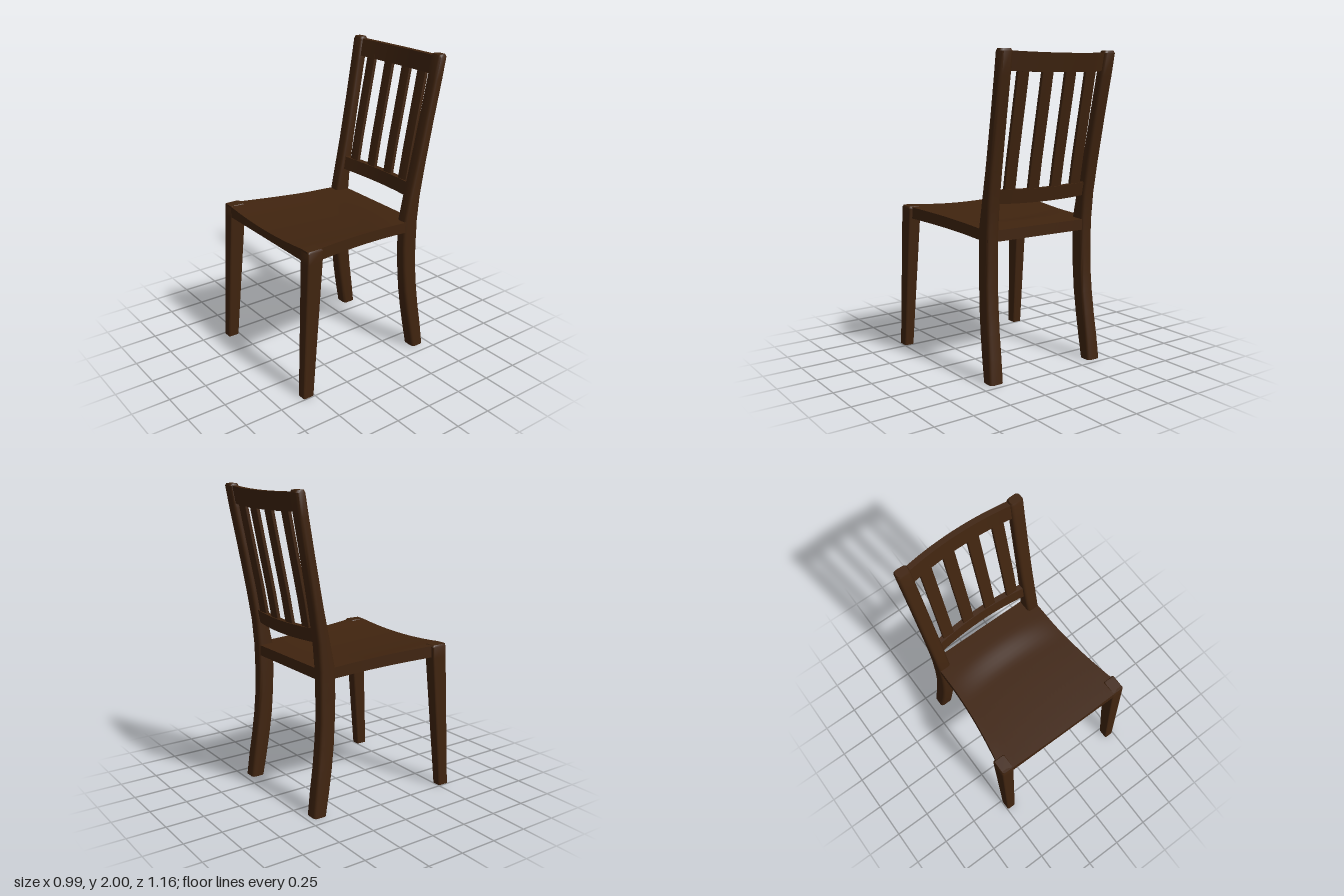
import * as THREE from 'three';
import { toCreasedNormals } from 'three/addons/utils/BufferGeometryUtils.js';

const wood = new THREE.MeshStandardMaterial({ color: 0x40240f });
wood.name = 'darkWood';

function part(name, geometry) {
  const mesh = new THREE.Mesh(toCreasedNormals(geometry, 0.6), wood);
  mesh.name = name;
  return mesh;
}

// Rounded rectangle in the xz plane, counter-clockwise from above
function ring([y, x0, x1, z0, z1], r) {
  const pts = [];
  const corners = [[x1 - r, z0 + r], [x0 + r, z0 + r], [x0 + r, z1 - r], [x1 - r, z1 - r]];
  corners.forEach(([cx, cz], q) => {
    for (let k = 0; k <= 3; k++) {
      const a = (q + k / 3) * Math.PI / 2;
      pts.push([cx + r * Math.cos(a), y, cz - r * Math.sin(a)]);
    }
  });
  return pts;
}

// Post through sections [y, x0, x1, z0, z1], listed bottom to top; side = -1 mirrors in x
function post(sections, r, side = 1) {
  const rings = sections.map(([y, x0, x1, z0, z1]) =>
    ring(side > 0 ? [y, x0, x1, z0, z1] : [y, -x1, -x0, z0, z1], r));
  const n = rings[0].length, pos = rings.flat(2), idx = [];
  for (let i = 0; i < rings.length - 1; i++) {
    for (let j = 0; j < n; j++) {
      const a = i * n + j, b = i * n + (j + 1) % n;
      idx.push(a, b, b + n, a, b + n, a + n);
    }
  }
  const top = (rings.length - 1) * n;
  for (let j = 1; j < n - 1; j++) idx.push(0, j + 1, j, top, top + j, top + j + 1);
  const g = new THREE.BufferGeometry();
  g.setAttribute('position', new THREE.Float32BufferAttribute(pos, 3));
  g.setIndex(idx);
  return g;
}

// Box whose vertices are moved by a rule
function shaped(nx, ny, nz, rule) {
  const g = new THREE.BoxGeometry(1, 1, 1, nx, ny, nz);
  const p = g.attributes.position;
  for (let i = 0; i < p.count; i++) {
    p.setXYZ(i, ...rule(p.getX(i) + 0.5, p.getY(i) + 0.5, p.getZ(i) + 0.5));
  }
  return g;
}

const lerp = THREE.MathUtils.lerp;
const smooth = THREE.MathUtils.smoothstep;

// Dished seat, flaring toward the front
function seatGeometry() {
  return shaped(28, 1, 28, (u, v, w) => {
    const z = lerp(-0.385, 0.53, w);
    const half = 0.405 + 0.085 * Math.pow(Math.max(0, (z + 0.15) / 0.68), 1.7)
      - 0.012 * smooth(z, 0.5, 0.53);
    const s = 2 * u - 1, x = s * half;
    const t = (z + 0.28) / 0.81;
    const reach = -0.24 + 0.05 * s * s;
    const dish = 0.024 * (1 - Math.pow(Math.min(1, Math.abs(x) / 0.42), 2)) * smooth(z, reach, reach + 0.2);
    const y = v > 0.5 ? lerp(0.94, 0.985, t) - dish : lerp(0.87, 0.908, t);
    return [x, y, z];
  });
}

// Bowed, backward-leaning rail of the backrest
function railGeometry(y0, y1, z0, z1, thick) {
  return shaped(20, 1, 1, (u, v, w) => {
    const x = (2 * u - 1) * 0.36;
    const bow = Math.pow(x / 0.34, 2);
    return [x, lerp(y0, y1, v) + 0.007 * bow, lerp(z0, z1, v) + 0.03 * bow - thick * (1 - w)];
  });
}

export function createModel() {
  const chair = new THREE.Group();
  chair.name = 'chair';
  chair.add(part('seat', seatGeometry()));

  const backPost = [
    [0, 0.34, 0.435, -0.46, -0.37],
    [0.15, 0.337, 0.43, -0.442, -0.342],
    [0.3, 0.334, 0.424, -0.42, -0.317],
    [0.45, 0.33, 0.418, -0.403, -0.298],
    [0.6, 0.328, 0.413, -0.392, -0.287],
    [0.75, 0.326, 0.41, -0.39, -0.281],
    [0.93, 0.325, 0.41, -0.393, -0.284],
    [1.1, 0.325, 0.412, -0.407, -0.32],
    [1.3, 0.328, 0.416, -0.438, -0.365],
    [1.6, 0.334, 0.422, -0.492, -0.425],
    [1.85, 0.34, 0.428, -0.54, -0.473],
    [1.985, 0.343, 0.432, -0.562, -0.498],
    [2, 0.35, 0.426, -0.556, -0.504],
  ];
  const frontLeg = [
    [0, 0.43, 0.495, 0.505, 0.58],
    [0.9, 0.405, 0.49, 0.425, 0.533],
    [0.972, 0.402, 0.489, 0.42, 0.53],
    [0.984, 0.41, 0.483, 0.43, 0.524],
  ];
  for (const side of [1, -1]) {
    const label = side > 0 ? 'left' : 'right';
    chair.add(part(label + 'BackPost', post(backPost, 0.02, side)));
    chair.add(part(label + 'FrontLeg', post(frontLeg, 0.01, side)));
  }

  chair.add(part('topRail', railGeometry(1.868, 1.98, -0.525, -0.545, 0.036)));
  chair.add(part('lowerRail', railGeometry(1.085, 1.172, -0.372, -0.388, 0.038)));

  // Four upright slats following the curve of the back
  for (const x of [-0.253, -0.086, 0.086, 0.253]) {
    const bow = 0.03 * Math.pow(x / 0.34, 2);
    const path = [[1.15, -0.402], [1.35, -0.437], [1.55, -0.477], [1.75, -0.517], [1.9, -0.546]];
    const sections = path.map(([y, z]) => [y, x - 0.04, x + 0.04, z + bow - 0.012, z + bow + 0.012]);
    chair.add(part('slat', post(sections, 0.005)));
  }
  return chair;
}
